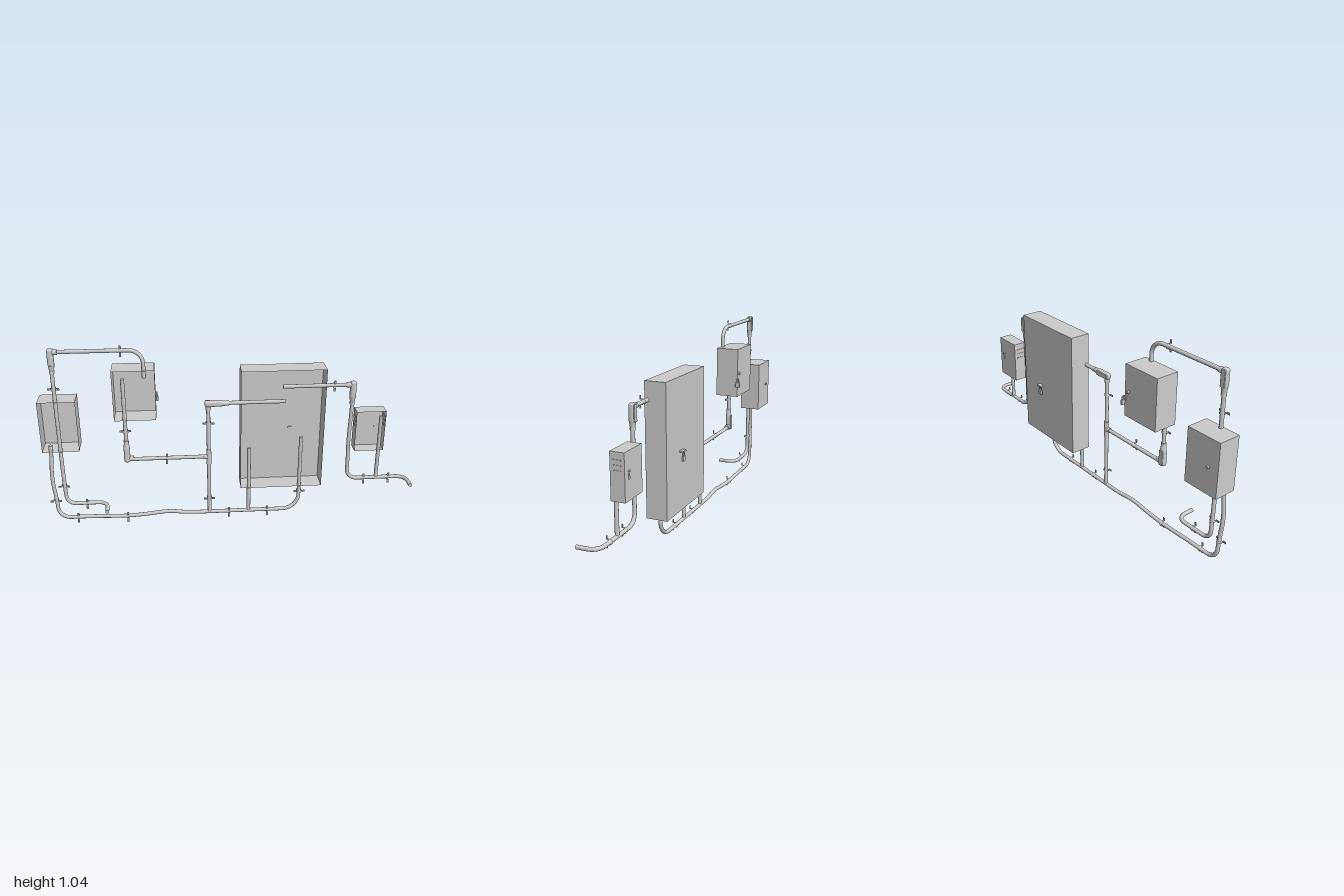
import * as THREE from 'three';
import { RoundedBoxGeometry } from 'three/addons/geometries/RoundedBoxGeometry.js';

const Z = 0.01; // conduit centre line
const WALL = 0.024; // mounting plane
const R = 0.0105; // conduit radius

export function createModel() {
  const model = new THREE.Group();
  model.name = 'electricalConduits';
  const mat = new THREE.MeshStandardMaterial({ color: 0xcccccc });
  const thin = new THREE.MeshStandardMaterial({ color: 0xcccccc, side: THREE.DoubleSide });

  function add(parent, name, geo, x = 0, y = 0, z = 0, m = mat) {
    const mesh = new THREE.Mesh(geo, m);
    mesh.name = name;
    mesh.position.set(x, y, z);
    parent.add(mesh);
    return mesh;
  }

  // Cabinet: five-sided shell, open towards the wall
  function cabinet(name, x0, x1, y0, y1, zDoor) {
    const geo = new THREE.BoxGeometry(x1 - x0, y1 - y0, WALL - zDoor);
    const idx = Array.from(geo.index.array);
    idx.splice(24, 6);
    geo.setIndex(idx);
    geo.clearGroups();
    add(model, name, geo, (x0 + x1) / 2, (y0 + y1) / 2, (WALL + zDoor) / 2, thin);
  }
  cabinet('leftCabinet', -1, -0.805, 0.455, 0.74, -0.093);
  cabinet('upperCabinet', -0.61, -0.39, 0.625, 0.9, -0.104);
  cabinet('mainCabinet', 0.06, 0.51, 0.192, 0.88, -0.088);
  cabinet('smallCabinet', 0.685, 0.845, 0.4, 0.632, -0.05);

  // Conduit: polyline of [x, y, z, bendRadius] with rounded corners
  function conduit(name, pts) {
    const v = pts.map(p => new THREE.Vector3(p[0], p[1], p[2] ?? Z));
    const path = new THREE.CurvePath();
    let from = v[0];
    for (let i = 1; i < v.length - 1; i++) {
      const toPrev = v[i - 1].clone().sub(v[i]);
      const toNext = v[i + 1].clone().sub(v[i]);
      const r = Math.min(pts[i][3] ?? 0.1, toPrev.length() * 0.49, toNext.length() * 0.49);
      const a = v[i].clone().addScaledVector(toPrev.normalize(), r);
      const b = v[i].clone().addScaledVector(toNext.normalize(), r);
      path.add(new THREE.LineCurve3(from, a));
      path.add(new THREE.CubicBezierCurve3(a, a.clone().lerp(v[i], 0.56), b.clone().lerp(v[i], 0.56), b));
      from = b;
    }
    const end = v[v.length - 1];
    path.add(new THREE.LineCurve3(from, end));
    const segs = pts.length > 2 ? Math.ceil(path.getLength() * 80) : 1;
    add(model, name, new THREE.TubeGeometry(path, segs, R, 12));
    // End caps
    for (const [t, s] of [[0, -1], [1, 1]]) {
      const cap = add(model, name + 'End', new THREE.CircleGeometry(R, 12));
      cap.position.copy(t ? end : v[0]);
      const dir = path.getTangent(t).multiplyScalar(s);
      cap.quaternion.setFromUnitVectors(new THREE.Vector3(0, 0, 1), dir);
    }
  }
  conduit('mainConduit', [
    [-0.955, 0.49], [-0.957, 0.41], [-0.968, 0.29, 0.014], [-0.955, 0.17],
    [-0.95, 0.042, Z, 0.085], [-0.75, 0.042], [-0.57, 0.034], [-0.43, 0.046],
    [-0.34, 0.058], [-0.24, 0.042], [0, 0.042], [0.2, 0.042], [0.388, 0.042, Z, 0.095], [0.388, 0.49],
  ]);
  conduit('mainCabinetDrop', [[0.105, 0.042], [0.105, 0.435]]);
  conduit('centreRiser', [[-0.115, 0.042], [-0.115, 0.69]]);
  conduit('centreFeed', [[-0.04, 0.705], [0.295, 0.705]]);
  conduit('branchConduit', [[-0.115, 0.392], [-0.55, 0.392]]);
  conduit('branchRiser', [[-0.555, 0.45], [-0.555, 0.855]]);
  conduit('leftRiser', [[-0.905, 0.93], [-0.905, 0.3], [-0.9, 0.13, Z, 0.085], [-0.8, 0.13],
    [-0.677, 0.13, Z, 0.1], [-0.675, 0.13, 0.115]]);
  conduit('upperConduit', [[-0.895, 1.01], [-0.6, 1.01], [-0.443, 1.01, Z, 0.1], [-0.443, 0.86]]);
  conduit('rightFeed', [[0.28, 0.788], [0.65, 0.788]]);
  conduit('rightDrop', [[0.655, 0.72], [0.655, 0.62], [0.65, 0.46], [0.655, 0.34],
    [0.655, 0.224, Z, 0.085], [0.85, 0.224], [0.988, 0.224, Z, 0.11], [0.99, 0.224, 0.118]]);
  conduit('smallCabinetRiser', [[0.822, 0.224], [0.822, 0.6]]);

  // Access elbow: long body along local -y, side outlet along local +x
  function elbow(name, x, y, angle, mirror) {
    const g = new THREE.Group();
    g.name = name;
    g.position.set(x, y, Z);
    g.rotation.z = angle;
    const s = mirror ? -1 : 1;
    add(g, 'body', new RoundedBoxGeometry(0.033, 0.095, 0.031, 3, 0.012), 0, -0.028, 0);
    add(g, 'cover', new RoundedBoxGeometry(0.026, 0.085, 0.006, 2, 0.0028), 0, -0.028, -0.0155);
    add(g, 'neck', new THREE.CylinderGeometry(0.0165, 0.0125, 0.03, 16), 0, -0.083, 0);
    add(g, 'endCollar', new THREE.CylinderGeometry(0.0135, 0.0135, 0.014, 16), 0, -0.103, 0);
    add(g, 'outlet', new THREE.CylinderGeometry(0.0145, 0.0145, 0.022, 16), s * 0.024, 0, 0).rotation.z = Math.PI / 2;
    model.add(g);
  }
  elbow('leftElbow', -0.904, 1.009, 0, false);
  elbow('rightElbow', 0.655, 0.788, 0, true);
  elbow('branchElbow', -0.555, 0.396, Math.PI, true);
  elbow('centreElbow', -0.115, 0.704, Math.PI / 2, true);

  // Junctions where a conduit branches off
  function sleeve(name, x, y, len, r, horizontal) {
    const m = add(model, name, new THREE.CylinderGeometry(r, r, len, 16), x, y, Z);
    if (horizontal) m.rotation.z = Math.PI / 2;
  }
  sleeve('teeBody', -0.115, 0.392, 0.09, 0.0135, false);
  sleeve('teeOutlet', -0.133, 0.392, 0.02, 0.0135, true);

  // Saddle clips: an arch over the conduit and two ears on the wall
  function clip(x, y, vertical) {
    const g = new THREE.Group();
    g.name = 'saddleClip';
    g.position.set(x, y, Z);
    if (vertical) g.rotation.z = Math.PI / 2;
    const arch = new THREE.CylinderGeometry(0.0135, 0.0135, 0.011, 16, 1, true, Math.PI / 2, Math.PI);
    add(g, 'arch', arch, 0, 0, 0, thin).rotation.z = Math.PI / 2;
    for (const s of [-1, 1]) {
      add(g, 'leg', new THREE.BoxGeometry(0.011, 0.0015, WALL - Z), 0, s * 0.0135, (WALL - Z) / 2);
      add(g, 'ear', new THREE.BoxGeometry(0.011, 0.018, 0.002), 0, s * 0.022, WALL - Z - 0.001);
      add(g, 'screw', new THREE.SphereGeometry(0.0035, 8, 6), 0, s * 0.023, WALL - Z - 0.002);
    }
    model.add(g);
  }
  for (const [x, y] of [[-0.845, 0.042], [-0.572, 0.034], [-0.005, 0.042], [0.21, 0.042], [-0.342, 0.392],
    [-0.79, 0.13], [-0.555, 1.01], [0.553, 0.788], [0.75, 0.224], [0.89, 0.224]]) clip(x, y, false);
  for (const [x, y] of [[-0.957, 0.155], [-0.904, 0.245], [-0.905, 0.815], [-0.555, 0.565],
    [-0.115, 0.595], [-0.115, 0.135], [0.388, 0.16]]) clip(x, y, true);

  // Padlock hanging from a hasp
  function padlock(name, x, y, z, angle) {
    const g = new THREE.Group();
    g.name = name;
    g.position.set(x, y, z);
    g.rotation.y = angle;
    add(g, 'lockBody', new RoundedBoxGeometry(0.026, 0.028, 0.011, 2, 0.003), 0, -0.014, 0);
    add(g, 'shackle', new THREE.TorusGeometry(0.008, 0.0022, 6, 12, Math.PI), 0, 0.012, 0);
    for (const s of [-1, 1]) {
      add(g, 'shackleLeg', new THREE.CylinderGeometry(0.0022, 0.0022, 0.014, 6), s * 0.008, 0.006, 0);
    }
    model.add(g);
  }
  padlock('mainPadlock', 0.345, 0.482, -0.102, 0);
  add(model, 'mainHasp', new THREE.BoxGeometry(0.036, 0.008, 0.024), 0.347, 0.507, -0.098);
  padlock('upperPadlock', -0.383, 0.71, -0.108, Math.PI / 2);
  add(model, 'upperHasp', new THREE.BoxGeometry(0.022, 0.02, 0.006), -0.392, 0.722, -0.106);

  // Door latches
  function latch(name, x, y, z, r) {
    add(model, name, new THREE.CylinderGeometry(r * 0.8, r, 0.008, 14), x, y, z - 0.003).rotation.x = -Math.PI / 2;
  }
  latch('leftLatch', -0.94, 0.595, -0.093, 0.009);
  latch('upperLatch', -0.413, 0.758, -0.104, 0.01);
  latch('smallLatch', 0.808, 0.54, -0.05, 0.006);
  add(model, 'smallHandle', new THREE.BoxGeometry(0.01, 0.028, 0.006), 0.808, 0.515, -0.051);

  // Louvres on both sides of the small cabinet
  for (const x of [0.685, 0.845]) {
    for (const y of [0.545, 0.57, 0.595]) {
      add(model, 'louvre', new THREE.BoxGeometry(0.006, 0.005, 0.04), x, y, -0.013);
    }
  }
  return model;
}
